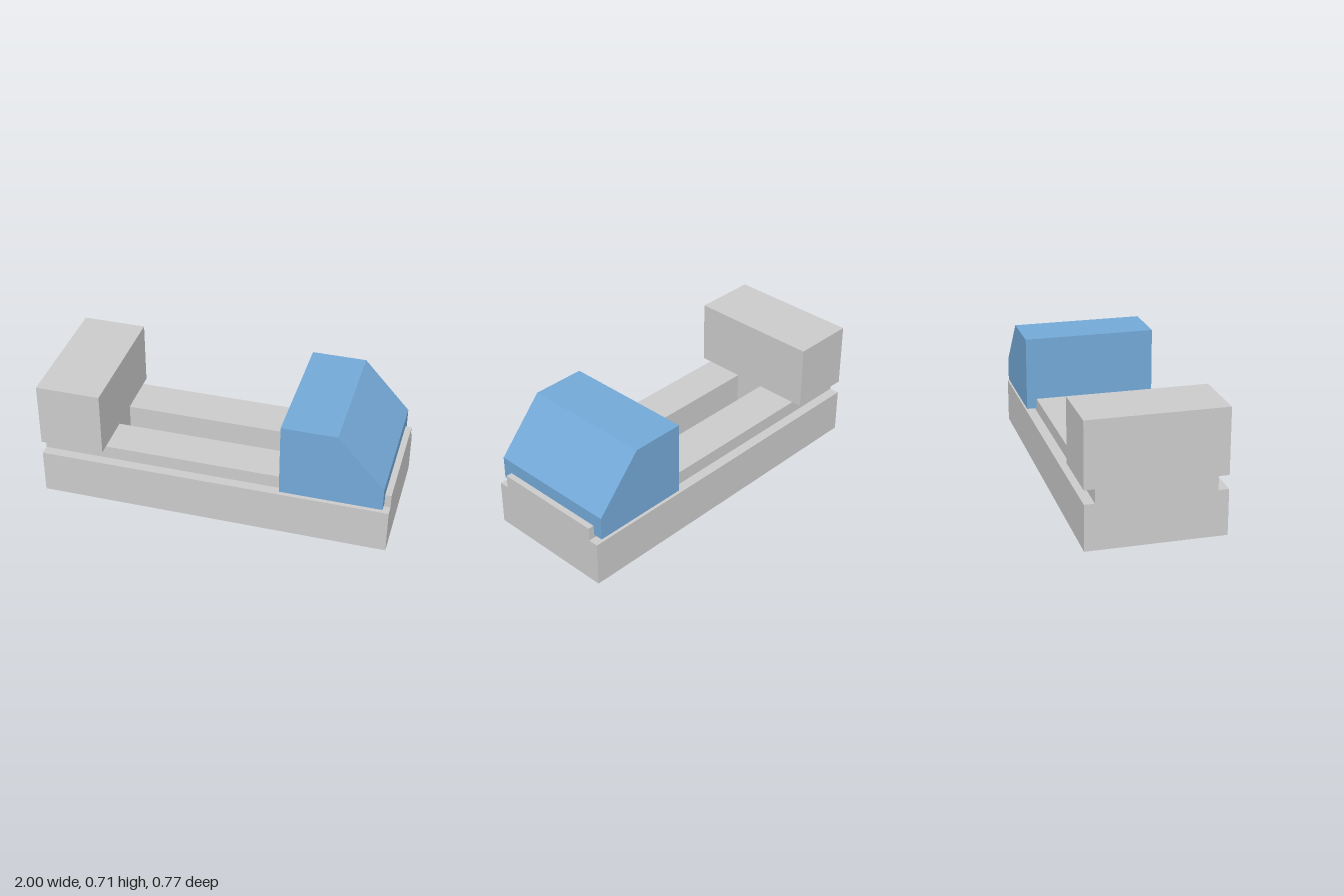
import * as THREE from 'three';

const HALF_DEPTH = 0.385, RAIL_HALF = 0.327;
const DECK_TOP = 0.26, RAIL_TOP = 0.338, JAW_TOP = 0.71;

const grey = new THREE.MeshStandardMaterial({ color: 0xcccccc, flatShading: true });
const blue = new THREE.MeshStandardMaterial({ color: 0x74a9d8, flatShading: true });

function addMesh(parent, name, geometry, material) {
  const mesh = new THREE.Mesh(geometry, material);
  mesh.name = name;
  parent.add(mesh);
  return mesh;
}

function addBox(parent, name, material, [x0, x1], [y0, y1], [z0, z1]) {
  const mesh = addMesh(parent, name, new THREE.BoxGeometry(x1 - x0, y1 - y0, z1 - z0), material);
  mesh.position.set((x0 + x1) / 2, (y0 + y1) / 2, (z0 + z1) / 2);
}

// Horizontal slab with a through slot: square at the fixed jaw, round at the other end
function slottedSlab(halfDepth, y0, y1) {
  const shape = new THREE.Shape([
    new THREE.Vector2(-1, -halfDepth), new THREE.Vector2(1, -halfDepth),
    new THREE.Vector2(1, halfDepth), new THREE.Vector2(-1, halfDepth),
  ]);
  const r = 0.089, centre = -0.01, roundX = 0.72;
  const slot = new THREE.Path();
  slot.moveTo(-0.633, centre - r);
  slot.lineTo(roundX, centre - r);
  slot.absarc(roundX, centre, r, -Math.PI / 2, Math.PI / 2, false);
  slot.lineTo(-0.633, centre + r);
  slot.closePath();
  shape.holes.push(slot);
  const geometry = new THREE.ExtrudeGeometry(shape, { depth: y1 - y0, bevelEnabled: false, curveSegments: 24 });
  return geometry.rotateX(-Math.PI / 2).translate(0, y0, 0);
}

export function createModel() {
  const model = new THREE.Group();
  model.name = 'machineVise';

  // Base with a narrower raised rail
  const base = new THREE.Group();
  base.name = 'base';
  addMesh(base, 'deck', slottedSlab(HALF_DEPTH, 0, DECK_TOP), grey);
  addMesh(base, 'rail', slottedSlab(RAIL_HALF, DECK_TOP, RAIL_TOP), grey);
  model.add(base);

  // Fixed jaw overhanging the rail
  addBox(model, 'fixedJaw', grey, [-1, -0.633], [RAIL_TOP, JAW_TOP], [-HALF_DEPTH, HALF_DEPTH]);

  // Sliding jaw: sloped block with a cheek hanging down on each side of the rail
  const jaw = new THREE.Group();
  jaw.name = 'slidingJaw';
  const profile = new THREE.Shape([
    [0.39, RAIL_TOP], [0.965, RAIL_TOP], [0.965, 0.414], [0.7, JAW_TOP], [0.39, JAW_TOP],
  ].map(([x, y]) => new THREE.Vector2(x, y)));
  const block = new THREE.ExtrudeGeometry(profile, { depth: 2 * HALF_DEPTH, bevelEnabled: false });
  addMesh(jaw, 'jawBlock', block.translate(0, 0, -HALF_DEPTH), blue);
  addBox(jaw, 'frontCheek', blue, [0.39, 0.965], [0.28, RAIL_TOP], [RAIL_HALF, HALF_DEPTH]);
  addBox(jaw, 'backCheek', blue, [0.39, 0.965], [0.28, RAIL_TOP], [-HALF_DEPTH, -RAIL_HALF]);
  model.add(jaw);

  return model;
}
